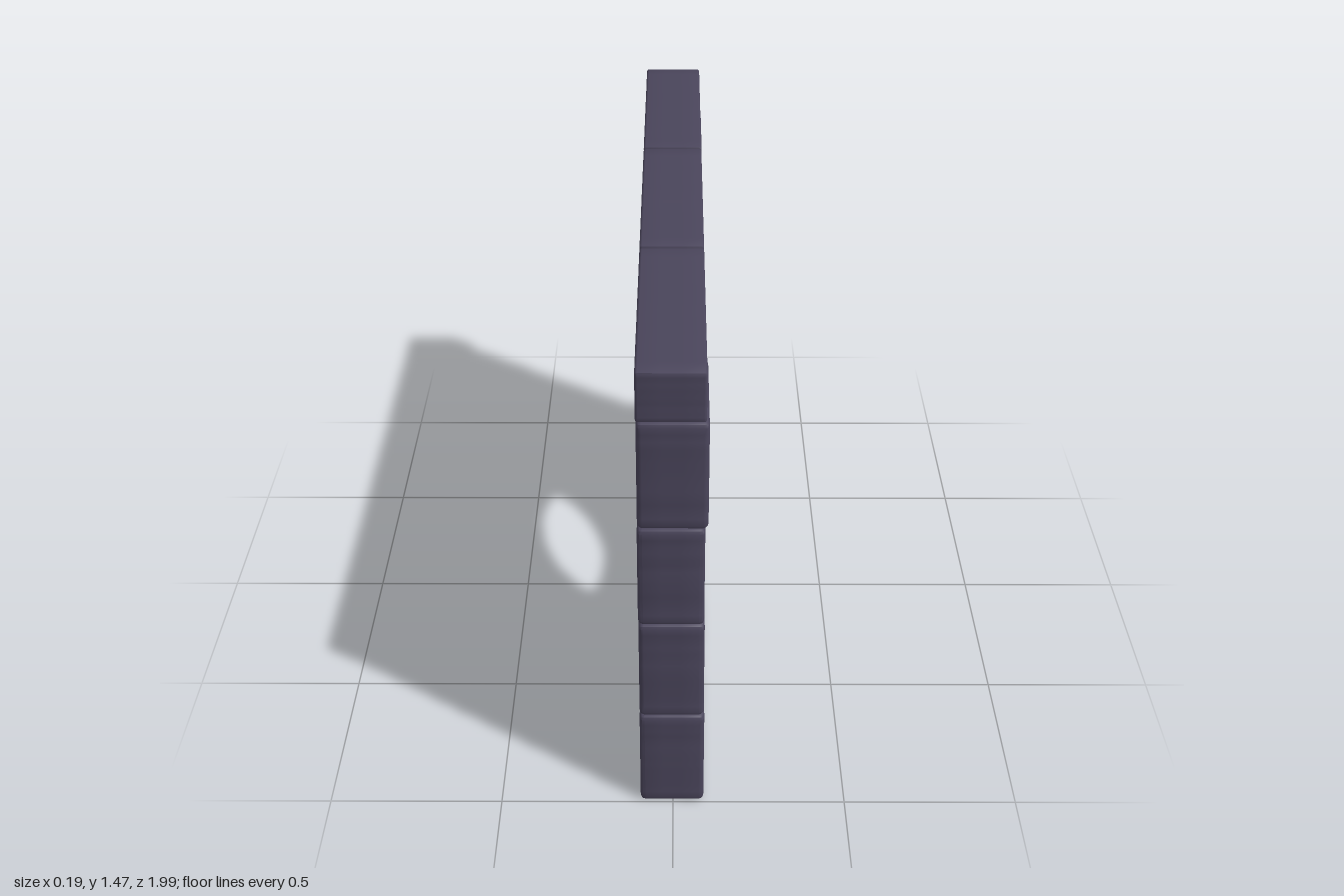
import * as THREE from 'three';
import { toCreasedNormals } from 'three/addons/utils/BufferGeometryUtils.js';

const HOLE = { a: 0.01, y: 0.505, r: 0.285 }; // a runs along the wall, a = -z

function seeded(seed) {
  let s = seed;
  return () => ((s = (s * 16807) % 2147483647) / 2147483647) * 2 - 1;
}

// Rounded rectangle with a slightly uneven, hand-cut edge
function outline(a0, a1, y0, y1, radius, wobble, rnd) {
  const pts = [];
  const corners = [[a1, y0, -1, 1], [a1, y1, -1, -1], [a0, y1, 1, -1], [a0, y0, 1, 1]];
  const arcs = corners.map(([a, y, sa, sy], i) => [0, 1, 2].map((k) => {
    const t = (i - 1 + k / 2) * Math.PI / 2;
    return new THREE.Vector2(a + sa * radius + Math.cos(t) * radius, y + sy * radius + Math.sin(t) * radius);
  }));
  arcs.forEach((arc, i) => {
    pts.push(...arc);
    const from = arc[2], to = arcs[(i + 1) % 4][0];
    for (let k = 1; k < 14; k++) {
      const p = from.clone().lerp(to, k / 14);
      if (i % 2) p.y -= Math.abs(rnd()) * wobble * (i === 1 ? 1 : -1);
      else p.x -= Math.abs(rnd()) * wobble * (i === 0 ? 1 : -1);
      pts.push(p);
    }
  });
  return pts;
}

// Push the outline clear of the round opening
function clearHole(pts, row) {
  const out = [];
  const mid = (Math.min(...pts.map((p) => p.x)) + Math.max(...pts.map((p) => p.x))) / 2;
  const side = Math.sign(mid);
  for (const p of pts) {
    const da = p.x - HOLE.a, dy = p.y - HOLE.y;
    if (row === 1) {
      const h = Math.sqrt(Math.max(0, HOLE.r ** 2 - dy * dy));
      p.x = HOLE.a + side * Math.max(side * da, h);
    } else {
      const s = row === 0 ? -1 : 1;
      const h = Math.sqrt(Math.max(0, HOLE.r ** 2 - da * da));
      p.y = HOLE.y + s * Math.max(s * dy, h);
    }
    if (!out.length || out[out.length - 1].distanceTo(p) > 0.002) out.push(p);
  }
  if (out[0].distanceTo(out[out.length - 1]) < 0.002) out.pop();
  return out;
}

// Extrude an outline through the wall thickness, x0 to x1
function slab(shape, x0, x1, bevel) {
  const geo = new THREE.ExtrudeGeometry(shape, {
    depth: x1 - x0 - 2 * bevel, steps: 3, curveSegments: 48,
    bevelEnabled: bevel > 0, bevelSize: bevel, bevelThickness: bevel, bevelOffset: -bevel, bevelSegments: 3,
  });
  geo.rotateY(Math.PI / 2);
  geo.translate(x0 + bevel, 0, 0);
  return geo;
}

export function createModel() {
  const group = new THREE.Group();
  const stone = new THREE.MeshStandardMaterial({ color: 0x4a455b });
  stone.name = 'slate stone';
  const rnd = seeded(77);
  const add = (geo, name) => {
    const mesh = new THREE.Mesh(toCreasedNormals(geo, 0.65), stone);
    mesh.name = name;
    group.add(mesh);
  };

  // Square blocks, four rows of six
  const rows = [[0.004, 0.334, 0.09], [0.338, 0.668, 0.086], [0.67, 0.992, 0.085], [0.995, 1.325, 0.091]];
  const W = 1 / 3;
  rows.forEach(([y0, y1, front], row) => {
    for (let col = 0; col < 6; col++) {
      const a0 = -1 + col * W + (col % 2 ? 0.003 : 0.005);
      const a1 = -1 + (col + 1) * W - (col % 2 ? 0.005 : 0.003);
      const cut = row < 3 && (col === 2 || col === 3);
      let pts = outline(a0, a1, y0, y1, 0.013, 0.003, rnd);
      if (cut) pts = clearHole(pts, row);
      const geo = slab(new THREE.Shape(pts), -0.094 + rnd() * 0.001, front + rnd() * 0.002, cut ? 0.008 : 0.014);
      // Worn corner at the rear end of the wall
      if (col === 5 && row > 0) {
        const pos = geo.attributes.position;
        for (let i = 0; i < pos.count; i++) {
          const x = pos.getX(i), z = pos.getZ(i);
          if (z < -0.95 && x > 0.02) pos.setZ(i, z + 0.025 * Math.min(1, (x - 0.02) / 0.05));
        }
      }
      add(geo, cut ? 'cutBlock' : 'block');
    }
  });

  // Three long capstones and the recessed mortar core under each
  for (let m = 0; m < 3; m++) {
    const a0 = -1 + m * 2 * W, a1 = a0 + 2 * W;
    const cap = outline(a0 + 0.004, a1 - 0.004, 1.33, 1.476, 0.005, 0.001, rnd);
    add(slab(new THREE.Shape(cap), -0.095, 0.085, 0.007), 'capstone');

    const core = new THREE.Shape();
    const l = a0 + 0.03, r = a1 - 0.03;
    if (m === 1) {
      // Rounded bays keep the core clear of the opening
      core.moveTo(a0 + 0.012, 0.02).lineTo(a1 - 0.012, 0.02).lineTo(a1 - 0.012, 1.4).lineTo(a0 + 0.012, 1.4);
      const hole = new THREE.Path();
      hole.absarc(HOLE.a, HOLE.y, HOLE.r + 0.003, 0, Math.PI * 2, true);
      core.holes.push(hole);
    } else {
      core.moveTo(l, 0.02).lineTo(r, 0.02).lineTo(r, 1.4).lineTo(l, 1.4);
    }
    add(slab(core, -0.072, 0.068, 0), 'mortarCore');
  }
  return group;
}
